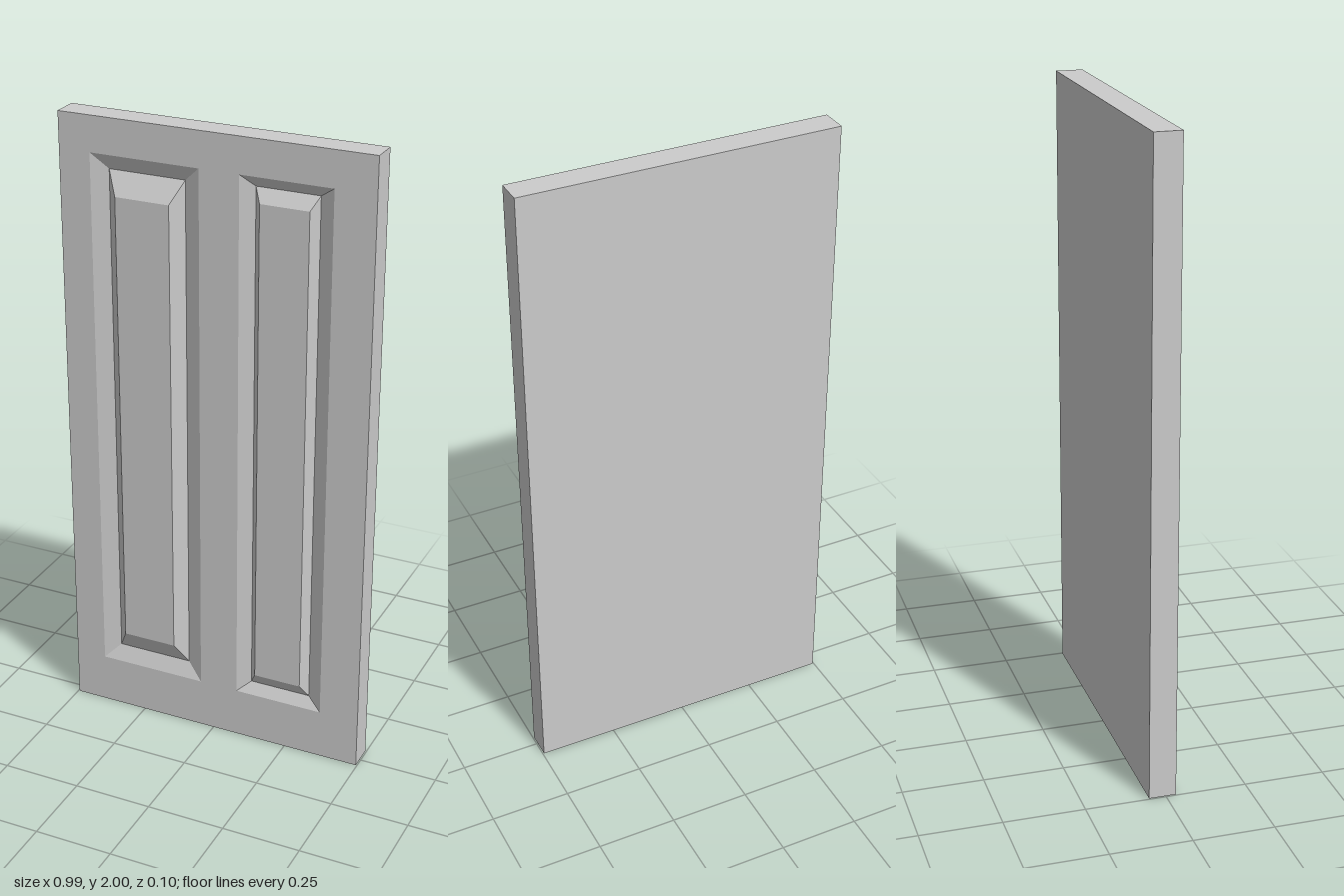
import * as THREE from 'three';

const W = 0.992, H = 2, BACK = -0.052, FRONT = 0.032, VALLEY = 0.011;

// Each panel: nested rectangles [x0, x1, y0, y1, z] from the rim, down to the groove, up to the raised field
const PANELS = {
  rightPanel: [
    [-0.395, -0.045, 0.163, 1.888, FRONT],
    [-0.343, -0.097, 0.215, 1.84, VALLEY],
    [-0.306, -0.132, 0.286, 1.771, 0.05],
  ],
  leftPanel: [
    [0.081, 0.369, 0.163, 1.888, FRONT],
    [0.124, 0.322, 0.2, 1.854, VALLEY],
    [0.147, 0.3, 0.244, 1.813, 0.038],
  ],
};

// Corners of a rectangle, counter-clockwise seen from the front
const corners = ([x0, x1, y0, y1, z]) =>
  [[x0, y0, z], [x1, y0, z], [x1, y1, z], [x0, y1, z]];

function panelGeometry(rects) {
  const pos = [];
  const quad = (a, b, c, d) => pos.push(...a, ...b, ...c, ...a, ...c, ...d);
  const rings = rects.map(corners);
  for (let r = 0; r < rings.length - 1; r++) {
    for (let i = 0; i < 4; i++) {
      const j = (i + 1) % 4;
      quad(rings[r][i], rings[r][j], rings[r + 1][j], rings[r + 1][i]);
    }
  }
  quad(...rings[rings.length - 1]); // flat raised field
  const geo = new THREE.BufferGeometry();
  geo.setAttribute('position', new THREE.Float32BufferAttribute(pos, 3));
  geo.computeVertexNormals();
  return geo;
}

export function createModel() {
  const group = new THREE.Group();
  group.name = 'panelledDoor';
  const material = new THREE.MeshStandardMaterial({ color: 0xcccccc, flatShading: true });
  const add = (name, geometry) => {
    const mesh = new THREE.Mesh(geometry, material);
    mesh.name = name;
    group.add(mesh);
  };

  // Slab: a box without its front side (front is the fifth of six sides)
  const slab = new THREE.BoxGeometry(W, H, FRONT - BACK);
  const index = Array.from(slab.index.array);
  index.splice(24, 6);
  slab.setIndex(index);
  slab.clearGroups();
  slab.translate(0, H / 2, (FRONT + BACK) / 2);
  add('slab', slab);

  // Front face with an opening for each panel
  const toPoints = (rect) => corners(rect).map(([x, y]) => new THREE.Vector2(x, y));
  const face = new THREE.Shape(toPoints([-W / 2, W / 2, 0, H, 0]));
  for (const rects of Object.values(PANELS)) {
    face.holes.push(new THREE.Path(toPoints(rects[0]).reverse()));
  }
  add('frontFace', new THREE.ShapeGeometry(face).translate(0, 0, FRONT));

  // Bevelled raised panels
  for (const [name, rects] of Object.entries(PANELS)) add(name, panelGeometry(rects));

  return group;
}
